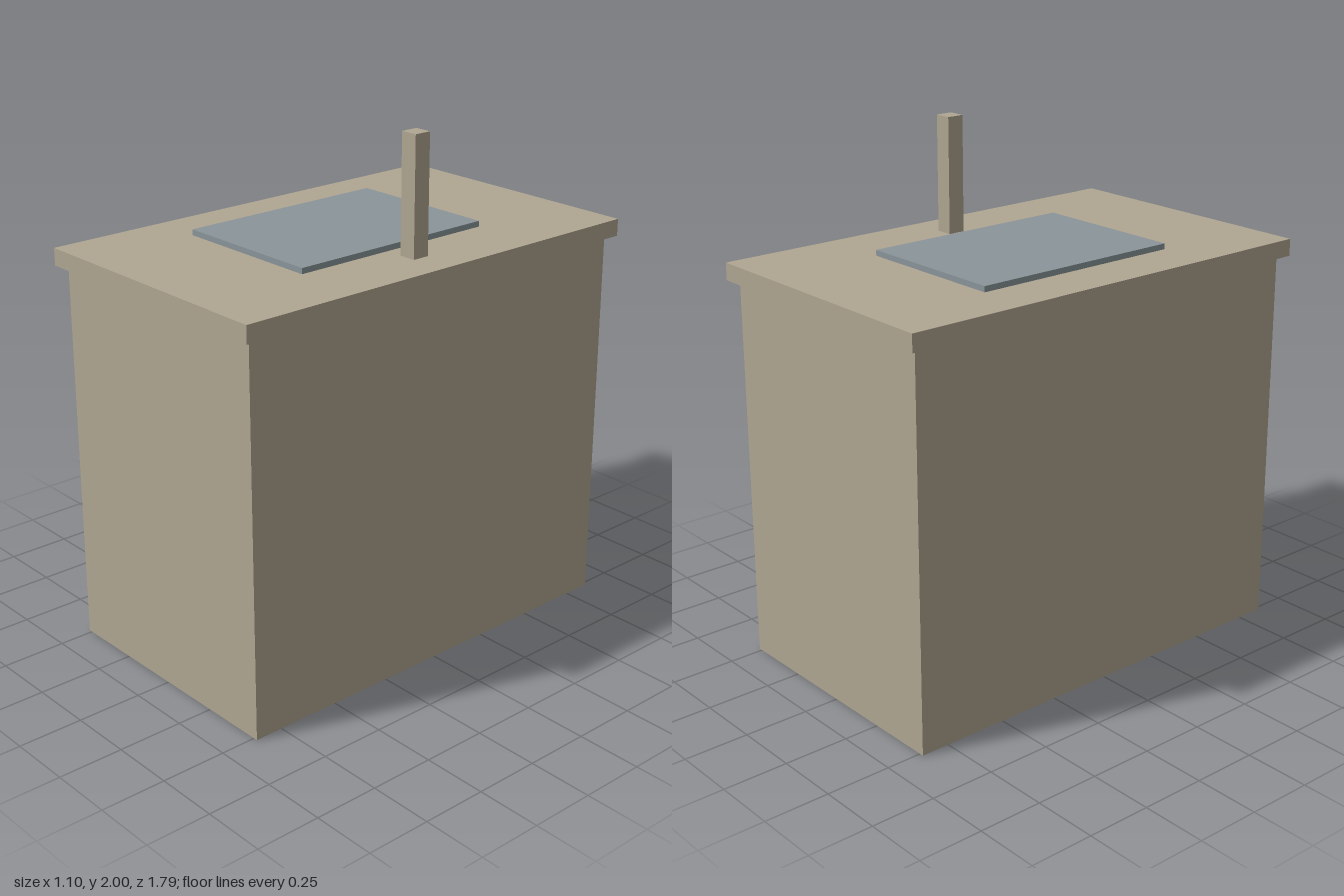
import * as THREE from 'three';

export function createModel() {
  const model = new THREE.Group();
  model.name = 'sinkCabinet';

  const beige = new THREE.MeshStandardMaterial({ color: 0xb0a691 });
  beige.name = 'warm beige';
  const blueGrey = new THREE.MeshStandardMaterial({ color: 0x8a959a });
  blueGrey.name = 'blue grey';

  // Box from its centre x, lower and upper y, width and depth, centred on z = 0
  const addBox = (name, material, x, y0, y1, width, depth) => {
    const mesh = new THREE.Mesh(new THREE.BoxGeometry(width, y1 - y0, depth), material);
    mesh.name = name;
    mesh.position.set(x, (y0 + y1) / 2, 0);
    model.add(mesh);
  };

  addBox('cabinet', beige, 0, 0, 1.486, 1.032, 1.724);
  addBox('countertop', beige, 0, 1.486, 1.552, 1.098, 1.793);
  addBox('basin', blueGrey, -0.037, 1.552, 1.574, 0.618, 0.862);
  addBox('tapPost', beige, 0.375, 1.552, 2, 0.068, 0.068);

  return model;
}
